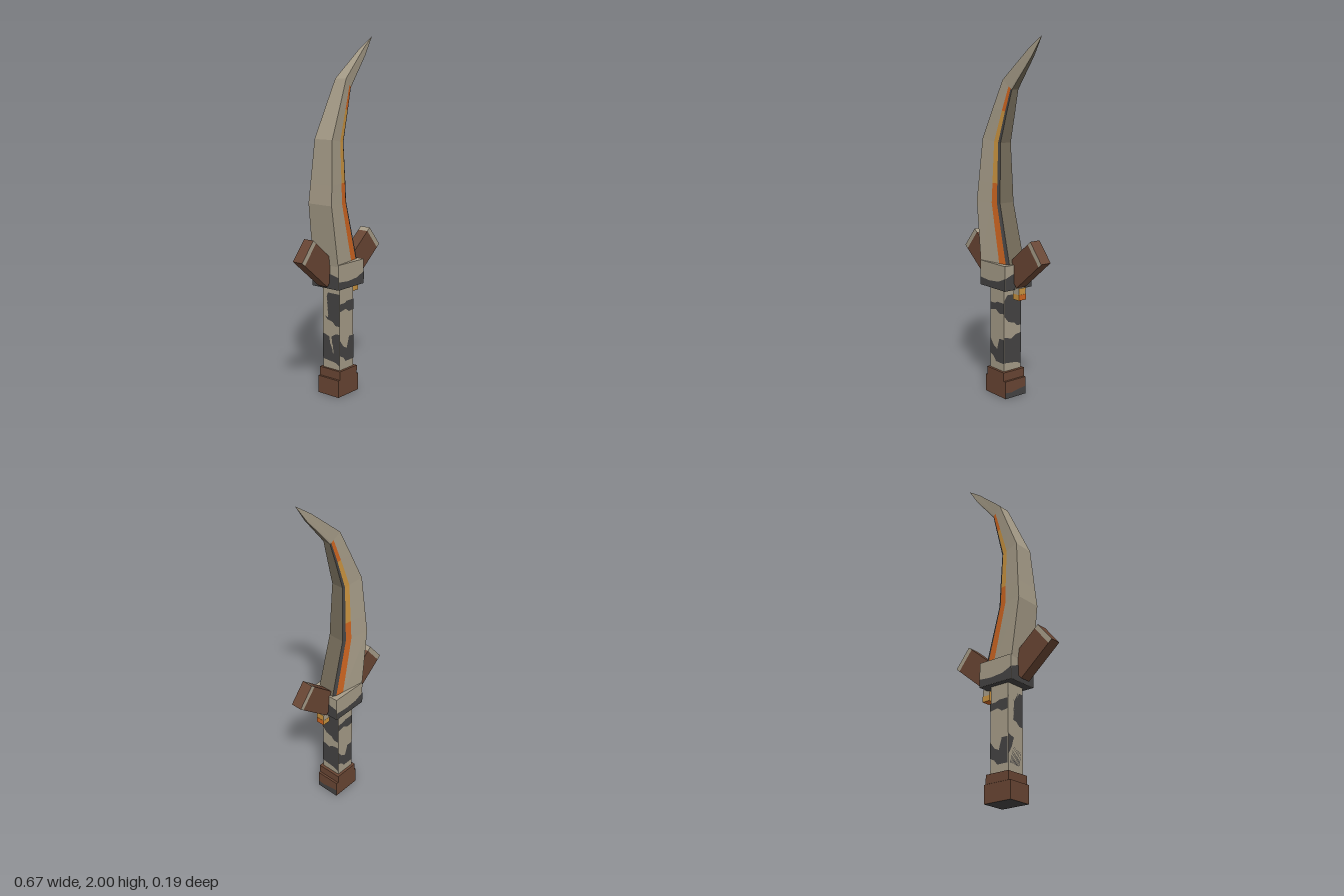
import * as THREE from 'three';

const mat = (name, color) => {
  const m = new THREE.MeshStandardMaterial({ color, flatShading: true });
  m.name = name;
  return m;
};

export function createModel() {
  const M = {
    bone: mat('bone', 0xa59b87),
    edge: mat('dull edge', 0x756c5a),
    dark: mat('charcoal', 0x434242),
    brown: mat('brown', 0x684533),
    orange: mat('orange', 0xcc6420),
    amber: mat('amber', 0xc8923f),
  };
  const root = new THREE.Group();
  root.name = 'dagger';

  const box = (name, size, pos, material, parent = root) => {
    const mesh = new THREE.Mesh(new THREE.BoxGeometry(...size), material);
    mesh.name = name;
    mesh.position.set(...pos);
    parent.add(mesh);
    return mesh;
  };

  // Thin painted patch on one side of a square block (angle 0 is the front)
  const patch = (name, points, angle, distance, material = M.dark) => {
    const shape = new THREE.Shape(points.map(([x, y]) => new THREE.Vector2(x, y)));
    const g = new THREE.ShapeGeometry(shape);
    g.translate(0, 0, distance + 0.002);
    g.rotateY(angle);
    const mesh = new THREE.Mesh(g, material);
    mesh.name = name;
    root.add(mesh);
  };

  // Blade: each station gives spine x, y, edge x, y and half thickness
  const stations = [
    [-0.11, 0.76, 0.10, 0.76, 0.09],
    [-0.155, 1.10, 0.01, 1.10, 0.082],
    [-0.145, 1.21, 0.007, 1.21, 0.076],
    [-0.125, 1.45, 0.0, 1.43, 0.062],
    [-0.048, 1.62, 0.046, 1.60, 0.05],
    [0.02, 1.77, 0.08, 1.72, 0.038],
    [0.20, 1.93, 0.225, 1.895, 0.014],
    [0.295, 2.0, 0.295, 2.0, 0],
  ];
  // Half section: position across the blade, share of the thickness
  const half = [[0, 1], [0.67, 0.77], [0.9, 0.69], [1, 0.58]];
  const section = [...half, ...half.slice().reverse().map(([u, w]) => [u, -w])];
  const rings = stations.map(([lx, ly, rx, ry, t]) =>
    section.map(([u, w]) => [lx + (rx - lx) * u, ly + (ry - ly) * u, t * w]));
  const stripe = ['orange', 'orange', 'amber', 'amber', 'orange', 'bone', 'bone'];
  // Colour of each strip around the section
  const colourOf = (j, i) => {
    if (j === 3) return 'edge';
    if (j === 1 || j === 5) return stripe[i];
    if (j === 2 || j === 4) return i < 5 ? 'dark' : 'bone';
    return 'bone';
  };
  const faces = {};
  for (let i = 0; i < rings.length - 1; i++) {
    for (let j = 0; j < section.length; j++) {
      const k = (j + 1) % section.length;
      const [a, b, c, d] = [rings[i][j], rings[i][k], rings[i + 1][k], rings[i + 1][j]];
      const list = (faces[colourOf(j, i)] ??= []);
      list.push(...a, ...b, ...c);
      if (i < rings.length - 2) list.push(...a, ...c, ...d);
    }
  }
  const blade = new THREE.Group();
  blade.name = 'blade';
  root.add(blade);
  const bladeNames = { bone: 'bladeBody', edge: 'bladeEdge', dark: 'bladeBevel', orange: 'orangeStripe', amber: 'amberStripe' };
  for (const [colour, list] of Object.entries(faces)) {
    const g = new THREE.BufferGeometry();
    g.setAttribute('position', new THREE.Float32BufferAttribute(list, 3));
    g.computeVertexNormals();
    const mesh = new THREE.Mesh(g, M[colour]);
    mesh.name = bladeNames[colour];
    blade.add(mesh);
  }

  // Guard block with a dark, uneven lower band
  box('guard', [0.22, 0.14, 0.186], [0, 0.7, 0],
    [M.bone, M.bone, M.bone, M.dark, M.bone, M.bone]);
  for (let s = 0; s < 4; s++) {
    const w = s % 2 ? 0.093 : 0.11;
    const d = s % 2 ? 0.11 : 0.093;
    const band = s % 2
      ? [[-w, 0.63], [w, 0.63], [w, 0.70], [0.03, 0.715], [-0.04, 0.72], [-w, 0.70]]
      : [[-w, 0.63], [w, 0.63], [w, 0.70], [0.05, 0.675], [-0.03, 0.668], [-w, 0.675]];
    patch('guardBand', band, s * Math.PI / 2, d);
  }

  // Grip with camouflage patches on all four sides
  box('grip', [0.12, 0.5, 0.12], [-0.002, 0.39, 0], M.bone);
  const g = 0.06;
  const frontPatches = [
    [[-g, 0.49], [-0.01, 0.5], [0.02, 0.48], [g, 0.485], [g, 0.545], [0, 0.545], [-0.02, 0.535], [-g, 0.535]],
    [[-g, 0.235], [-0.03, 0.22], [-0.01, 0.195], [g, 0.195], [g, 0.335], [0.02, 0.335],
      [0, 0.27], [-0.03, 0.285], [-g, 0.325]],
  ];
  const sidePatches = [
    [[-g, 0.47], [-0.03, 0.435], [0.01, 0.425], [0.03, 0.405], [g, 0.405], [g, 0.59], [-0.04, 0.59], [-g, 0.56]],
    [[-g, 0.2], [0.03, 0.19], [g, 0.175], [g, 0.36], [0.02, 0.355], [-0.01, 0.335], [-g, 0.35]],
  ];
  for (let s = 0; s < 4; s++) {
    for (const p of s % 2 ? sidePatches : frontPatches) patch('gripPatch', p, s * Math.PI / 2, g);
  }

  // Pommel
  box('pommelCollar', [0.15, 0.05, 0.15], [0, 0.125, 0], M.brown);
  box('pommel', [0.176, 0.1, 0.146], [0, 0.05, 0],
    [M.brown, M.brown, M.brown, M.dark, M.brown, M.brown]);
  patch('pommelStain', [[-0.073, 0], [0.073, 0], [0.073, 0.045], [0.02, 0.04], [-0.03, 0.03], [-0.073, 0.035]],
    Math.PI / 2, 0.088);

  // Slanted guard arms with a pale band near the tip
  for (const side of [1, -1]) {
    const arm = new THREE.Group();
    arm.name = side > 0 ? 'leftArm' : 'rightArm';
    arm.position.set(side * 0.1875, 0.782, -0.002);
    arm.rotation.z = side * 0.69;
    root.add(arm);
    box('armBody', [0.238, 0.142, 0.066], [-side * 0.014, 0, 0], M.brown, arm);
    const ends = Array(6).fill(M.bone);
    ends[side > 0 ? 0 : 1] = M.brown;
    ends[3] = M.brown;
    box('armBand', [0.028, 0.142, 0.066], [side * 0.119, 0, 0], ends, arm);
  }

  // Small bead hanging under the left arm
  box('beadTop', [0.045, 0.04, 0.05], [0.122, 0.622, 0],
    [M.amber, M.amber, M.bone, M.bone, M.bone, M.bone]);
  box('bead', [0.048, 0.032, 0.052], [0.122, 0.59, 0],
    [M.orange, M.amber, M.amber, M.orange, M.amber, M.amber]);

  return root;
}
